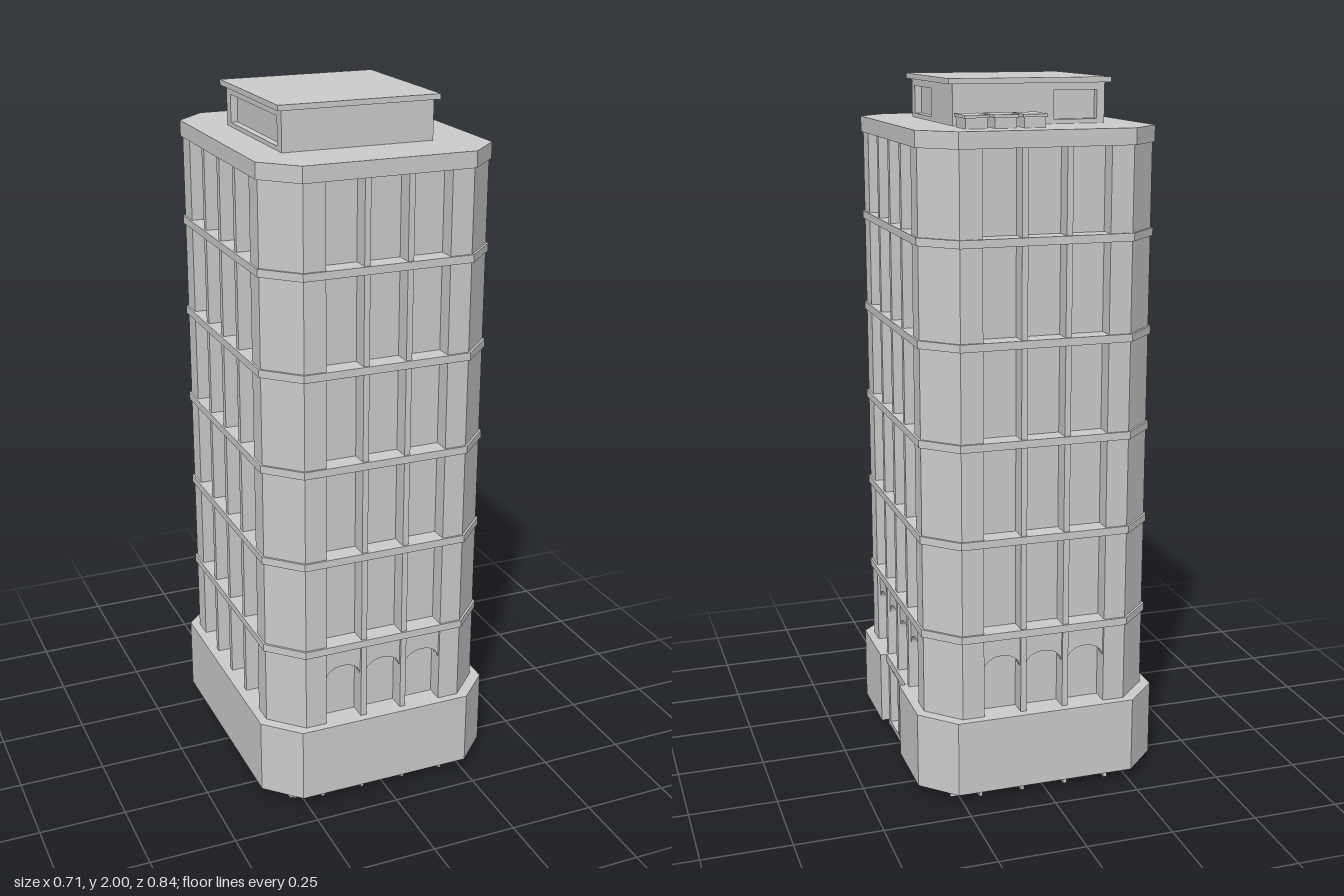
import * as THREE from 'three';

const grey = new THREE.MeshStandardMaterial({ color: 0xcccccc, flatShading: true });

function add(parent, name, geometry) {
  const mesh = new THREE.Mesh(geometry, grey);
  mesh.name = name;
  parent.add(mesh);
  return mesh;
}

// Box given by its min and max on each axis
function box(parent, name, x0, x1, y0, y1, z0, z1) {
  const mesh = add(parent, name, new THREE.BoxGeometry(x1 - x0, y1 - y0, z1 - z0));
  mesh.position.set((x0 + x1) / 2, (y0 + y1) / 2, (z0 + z1) / 2);
  return mesh;
}

// Chamfered rectangle; sides run +z, -x, -z, +x, each with optional notches
function plan(hx, hz, cx, cz, notches = [[], [], [], []], half = 0, depth = 0) {
  const sides = [
    [[cx, hz], [-cx, hz]], [[-hx, cz], [-hx, -cz]],
    [[-cx, -hz], [cx, -hz]], [[hx, -cz], [hx, cz]],
  ];
  const points = [];
  sides.forEach(([a, b], i) => {
    const from = new THREE.Vector2(...a), to = new THREE.Vector2(...b);
    const along = to.clone().sub(from).normalize();
    const inward = new THREE.Vector2(-along.y, along.x);
    const middle = from.clone().add(to).multiplyScalar(0.5);
    const at = (t, d) => middle.clone().addScaledVector(along, t).addScaledVector(inward, d);
    points.push(from);
    for (const c of notches[i]) {
      points.push(at(c - half, 0), at(c - half, depth), at(c + half, depth), at(c + half, 0));
    }
    points.push(to);
  });
  return points.map((p) => new THREE.Vector2(p.x, -p.y));
}

// Plan extruded upwards from y0 to y1, optionally hollow
function slab(parent, name, outline, y0, y1, hole) {
  const shape = new THREE.Shape(outline);
  if (hole) shape.holes.push(new THREE.Path(hole));
  const geometry = new THREE.ExtrudeGeometry(shape, { depth: y1 - y0, bevelEnabled: false });
  geometry.rotateX(-Math.PI / 2).translate(0, y0, 0);
  return add(parent, name, geometry);
}

// Wall head with a shallow arch cut in its lower edge
function archGeometry(width, spring, rise, top, depth) {
  const w = width / 2, shape = new THREE.Shape();
  shape.moveTo(-w, top);
  shape.lineTo(-w, spring);
  for (let i = 0; i <= 12; i++) {
    const a = Math.PI * (1 - i / 12);
    shape.lineTo(Math.cos(a) * (w - 0.002), spring + Math.sin(a) * rise);
  }
  shape.lineTo(w, spring);
  shape.lineTo(w, top);
  return new THREE.ExtrudeGeometry(shape, { depth, bevelEnabled: false });
}

// Flat frame around a rectangular opening
function frameGeometry(w, h, x0, x1, y0, y1, depth) {
  const rect = (a, b, c, d) => [[a, c], [b, c], [b, d], [a, d]].map((p) => new THREE.Vector2(...p));
  const shape = new THREE.Shape(rect(-w / 2, w / 2, 0, h));
  shape.holes.push(new THREE.Path(rect(x0, x1, y0, y1)));
  return new THREE.ExtrudeGeometry(shape, { depth, bevelEnabled: false });
}

export function createModel() {
  const model = new THREE.Group();
  model.name = 'officeTower';

  const three = [-0.125, 0, 0.125];
  const four = [-0.191, -0.064, 0.064, 0.191];
  const bayHalf = 0.054;

  // Tower shaft with recessed window bays
  slab(model, 'towerShaft',
    plan(0.331, 0.397, 0.242, 0.308, [three, four, three, four], bayHalf, 0.05), 0.24, 1.85);

  // Floor bands and roof parapet slab
  const bandPlan = plan(0.337, 0.403, 0.245, 0.311);
  for (let i = 0; i < 5; i++) {
    const y = 0.473 + i * 0.2755;
    slab(model, 'floorBand', bandPlan, y, y + 0.022);
  }
  slab(model, 'roofSlab', bandPlan, 1.83, 1.875);

  // Arched heads of the lowest bays on front, back and entrance side
  const arch = archGeometry(bayHalf * 2, 0.385, 0.035, 0.475, 0.025);
  const arcades = [['frontArches', 0, 0.397, three], ['backArches', Math.PI, 0.397, three],
    ['entranceSideArches', Math.PI / 2, 0.331, four]];
  for (const [name, angle, face, centres] of arcades) {
    const group = new THREE.Group();
    group.name = name;
    group.rotation.y = angle;
    for (const c of centres) add(group, 'arch', arch).position.set(c, 0, face - 0.033);
    model.add(group);
  }

  // Wide base, hollow underneath, with an entrance notch in its +x side
  const gap = [[], [], [], [0]];
  const basePlan = plan(0.356, 0.421, 0.262, 0.327, gap, 0.118, 0.07);
  const hollow = plan(0.336, 0.401, 0.252, 0.317, gap, 0.138, 0.07);
  slab(model, 'baseBlock', basePlan, 0.1, 0.245);
  slab(model, 'baseSkirt', basePlan, 0.025, 0.1, hollow);

  // Entrance lintel, posts and threshold
  box(model, 'entranceLintel', 0.28, 0.337, 0.22, 0.245, -0.118, 0.118);
  box(model, 'entranceHead', 0.28, 0.325, 0.195, 0.22, -0.118, 0.118);
  for (const z of [-0.11, 0, 0.11]) {
    box(model, 'entrancePost', 0.28, 0.331, 0.01, 0.22, z - 0.009, z + 0.009);
  }
  box(model, 'entranceThreshold', 0.26, 0.331, 0.01, 0.025, -0.118, 0.118);

  // Crossing foundation walls under the base
  const t = 0.005;
  for (const x of [-0.28, -0.19, -0.065, 0.065, 0.19, 0.26]) {
    const reach = Math.abs(x) > 0.25 ? 0.37 : 0.397;
    box(model, 'foundationWall', x - t, x + t, 0, 0.105, -reach, reach);
  }
  for (const z of [-0.37, -0.255, -0.128, 0, 0.128, 0.255, 0.37]) {
    const reach = Math.abs(z) > 0.3 ? 0.275 : 0.33;
    box(model, 'foundationWall', -reach, z === 0 ? 0.28 : reach, 0, 0.105, z - t, z + t);
  }

  // Rooftop house: recessed core, framed walls and overhanging roof
  const house = new THREE.Group();
  house.name = 'roofHouse';
  model.add(house);
  const x0 = -0.235, x1 = 0.2, z0 = -0.192, z1 = 0.233, y0 = 1.87, h = 0.117, d = 0.02;
  box(house, 'houseCore', x0 + d, x1 - d, y0, y0 + h, z0 + d, z1 - d);
  box(house, 'houseFrontWall', x0, x1, y0, y0 + h, z1 - d, z1);
  const width = x1 - x0, length = z1 - z0, midX = (x0 + x1) / 2, midZ = (z0 + z1) / 2;
  const right = add(house, 'houseRightWall', frameGeometry(length, h, -0.18, 0, 0.017, 0.095, d));
  right.rotation.y = Math.PI / 2;
  right.position.set(x1 - d, y0, midZ);
  const left = add(house, 'houseLeftWall', frameGeometry(length, h, -0.18, 0.18, 0.017, 0.095, d));
  left.rotation.y = -Math.PI / 2;
  left.position.set(x0 + d, y0, midZ);
  const back = add(house, 'houseBackWall', frameGeometry(width, h, 0.07, 0.195, 0.017, 0.095, d));
  back.rotation.y = Math.PI;
  back.position.set(midX, y0, z0 + d);
  box(house, 'houseRoof', -0.249, 0.214, 1.985, 2, -0.207, 0.245);

  // Rooftop ventilation units
  for (const x of [0.011, 0.092, 0.173]) {
    box(model, 'ventUnit', x - 0.03, x + 0.03, 1.87, 1.905, -0.323, -0.234);
    box(model, 'ventLid', x - 0.034, x + 0.034, 1.903, 1.911, -0.327, -0.23);
  }

  return model;
}
